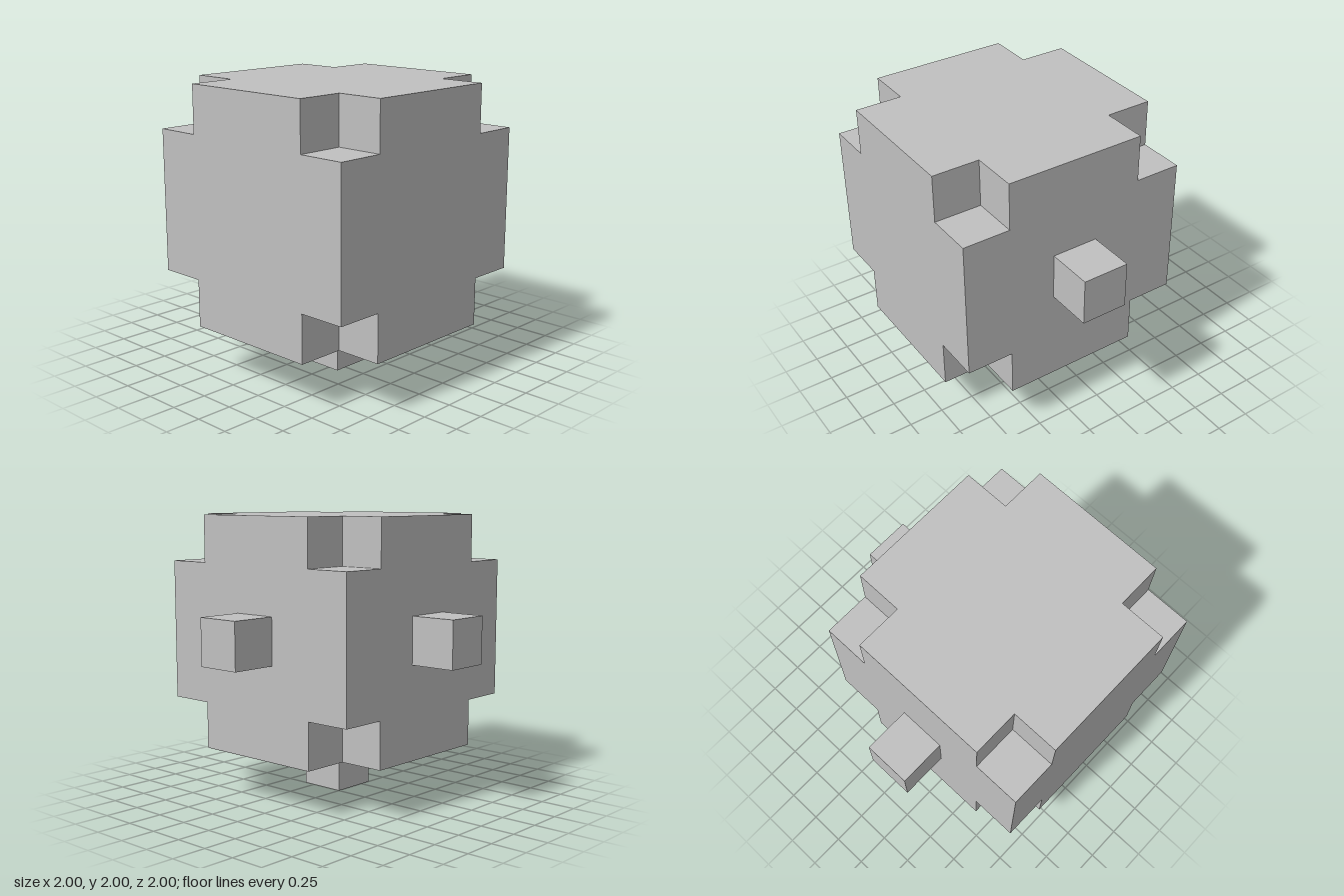
import * as THREE from 'three';
import { mergeGeometries } from 'three/addons/utils/BufferGeometryUtils.js';

const U = 1 / 3; // one grid cell; the body is 5 cells wide

// One side of the body facing +z: a plus-shaped face and four recessed corner squares
function sideGeometry() {
  const a = 2.5 * U, b = 1.5 * U;
  const plus = new THREE.Shape([
    [b, -a], [b, -b], [a, -b], [a, b], [b, b], [b, a],
    [-b, a], [-b, b], [-a, b], [-a, -b], [-b, -b], [-b, -a],
  ].map(([x, y]) => new THREE.Vector2(x, y)));
  const parts = [new THREE.ShapeGeometry(plus).translate(0, 0, a)];
  for (const sx of [-1, 1]) for (const sy of [-1, 1]) {
    const square = new THREE.ShapeGeometry(new THREE.Shape([
      new THREE.Vector2(-U / 2, -U / 2), new THREE.Vector2(U / 2, -U / 2),
      new THREE.Vector2(U / 2, U / 2), new THREE.Vector2(-U / 2, U / 2),
    ]));
    parts.push(square.translate(sx * 2 * U, sy * 2 * U, b));
  }
  return mergeGeometries(parts);
}

export function createModel() {
  const model = new THREE.Group();
  model.name = 'notchedCube';
  const grey = new THREE.MeshStandardMaterial({ color: 0xc0c0c0 });
  grey.name = 'lightGrey';

  // Body: the same side turned to all six directions
  const sides = [0, 1, 2, 3].map((i) => sideGeometry().rotateY(i * Math.PI / 2));
  sides.push(sideGeometry().rotateX(Math.PI / 2), sideGeometry().rotateX(-Math.PI / 2));
  const body = new THREE.Mesh(mergeGeometries(sides), grey);
  body.name = 'body';
  model.add(body);

  // Single-cell studs centred on the right, bottom and back sides
  const studs = { rightStud: [-3, 0, 0], bottomStud: [0, -3, 0], backStud: [0, 0, -3] };
  for (const [name, cell] of Object.entries(studs)) {
    const stud = new THREE.Mesh(new THREE.BoxGeometry(U, U, U), grey);
    stud.name = name;
    stud.position.fromArray(cell).multiplyScalar(U);
    model.add(stud);
  }

  // Stand on the bottom stud, centred with the studs included
  model.position.set(U / 2, 3.5 * U, U / 2);
  const root = new THREE.Group();
  root.name = 'model';
  root.add(model);
  return root;
}
